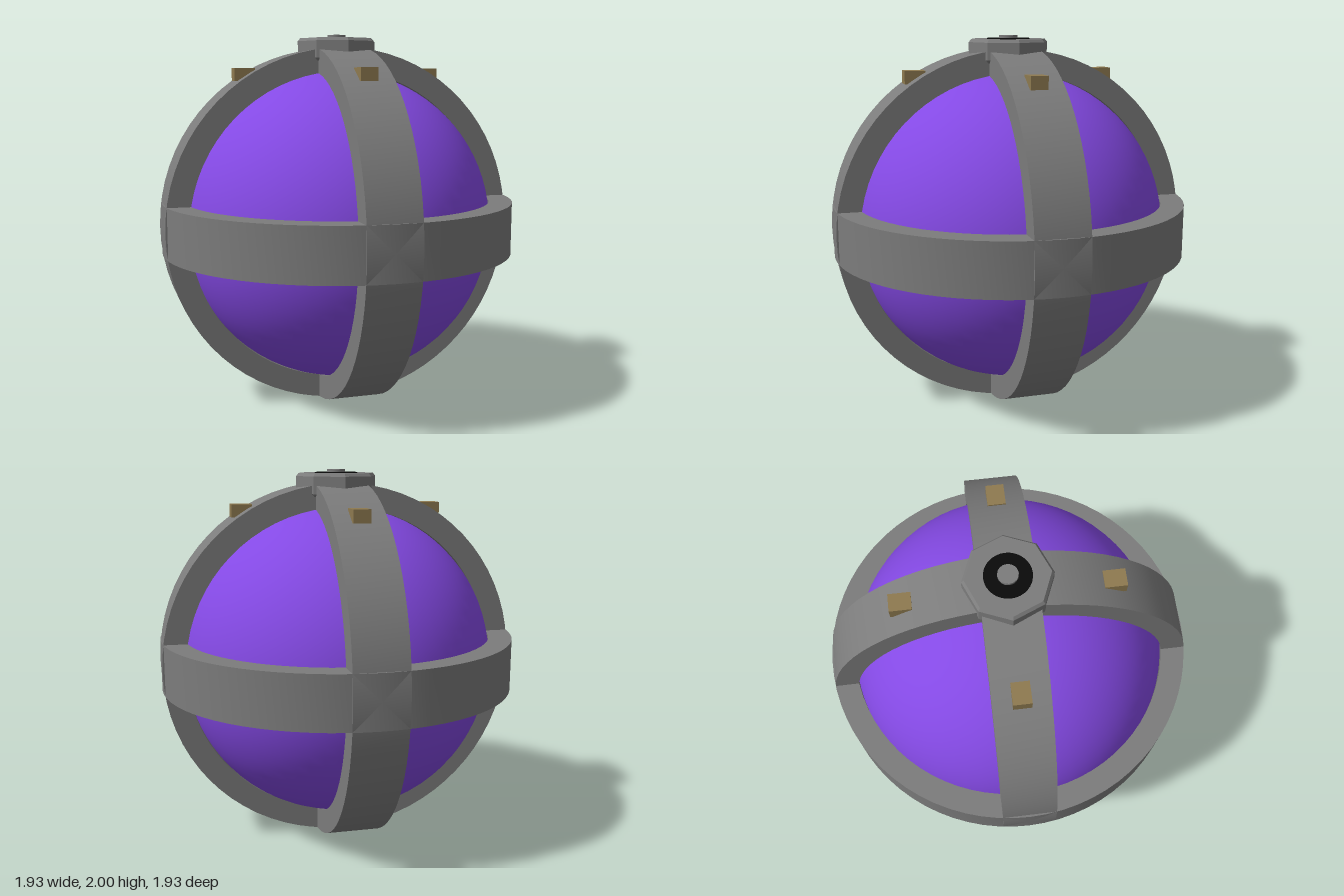
import * as THREE from 'three';
import { toCreasedNormals } from 'three/addons/utils/BufferGeometryUtils.js';

const CENTER = 0.966, OUTER = 0.965, INNER = 0.84, HALF = 0.14;

function material(name, color) {
  const m = new THREE.MeshStandardMaterial({ color });
  m.name = name;
  return m;
}

// Turned solid with crisp edges; the profile runs counter-clockwise
function turned(points, segments, crease) {
  const profile = points.map(([x, y]) => new THREE.Vector2(x, y));
  return toCreasedNormals(new THREE.LatheGeometry(profile, segments), crease);
}

export function createModel() {
  const group = new THREE.Group();
  const metal = material('greyMetal', 0x7c7c7c);
  const purple = material('purpleShell', 0x8449e4);
  const brass = material('brass', 0x8e7a50);
  const black = material('black', 0x0a0a0a);

  const add = (name, geometry, mat, x = 0, y = 0, z = 0) => {
    const mesh = new THREE.Mesh(geometry, mat);
    mesh.name = name;
    mesh.position.set(x, y, z);
    group.add(mesh);
    return mesh;
  };

  // Inner ball
  add('ball', new THREE.SphereGeometry(0.846, 64, 40), purple, 0, CENTER, 0);

  // Three flat bands, one around each axis
  const band = turned(
    [[OUTER, -HALF], [OUTER, HALF], [INNER, HALF], [INNER, -HALF], [OUTER, -HALF]],
    72, 0.6);
  add('equatorBand', band, metal, 0, CENTER, 0);
  add('frontBand', band, metal, 0, CENTER, 0).rotation.x = Math.PI / 2;
  add('sideBand', band, metal, 0, CENTER, 0).rotation.z = Math.PI / 2;

  // Eight-sided cap whose corners reach down between the bands
  add('cap', turned(
    [[0, 1.86], [0.205, 1.86], [0.218, 1.875], [0.218, 1.965], [0.205, 1.981], [0, 1.981]],
    8, 0.1), metal);

  // Dark socket and pin on the cap
  add('socket', new THREE.CylinderGeometry(0.115, 0.115, 0.006, 32), black, 0, 1.982, 0);
  add('pin', new THREE.CylinderGeometry(0.05, 0.05, 0.04, 16), metal, 0, 1.98, 0);

  // Four pegs around the cap
  const peg = new THREE.BoxGeometry(0.11, 0.068, 0.09);
  for (let i = 0; i < 4; i++) {
    const a = i * Math.PI / 2;
    add('peg', peg, brass, 0.517 * Math.cos(a), 1.787, -0.517 * Math.sin(a)).rotation.y = a;
  }
  return group;
}
